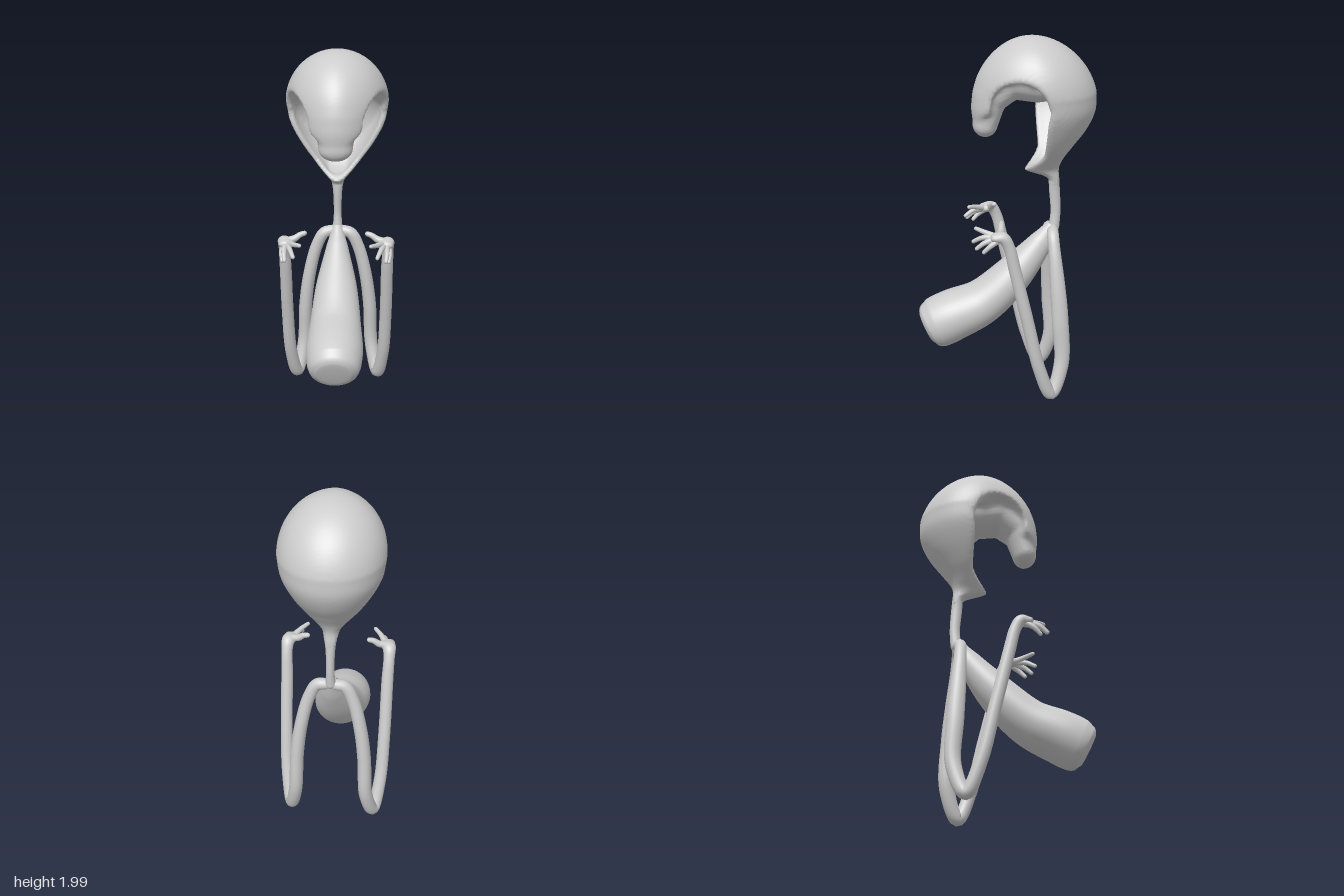
import * as THREE from 'three';

const material = new THREE.MeshStandardMaterial({ color: 0xcccccc, roughness: 0.8 });

function addMesh(parent, name, geometry) {
  const mesh = new THREE.Mesh(geometry, material);
  mesh.name = name;
  parent.add(mesh);
}

function indexed(positions, index) {
  const g = new THREE.BufferGeometry();
  g.setAttribute('position', new THREE.Float32BufferAttribute(positions, 3));
  g.setIndex(index);
  g.computeVertexNormals();
  return g;
}

// Smooth limb through rows of [x, y, z, sideRadius, otherRadius], with rounded ends
function limb(rows, steps = 40, sides = 20, endRound = 1) {
  const path = new THREE.CatmullRomCurve3(rows.map(r => new THREE.Vector3(r[0], r[1], r[2])));
  const radii = new THREE.CatmullRomCurve3(
    rows.map(r => new THREE.Vector3(r[3], r[4] ?? r[3], 0)), false, 'catmullrom');
  const chord = path.getPoint(1).sub(path.getPoint(0)).normalize();
  const ref = Math.abs(chord.x) > 0.8 ? new THREE.Vector3(0, 0, 1) : new THREE.Vector3(1, 0, 0);
  const positions = [], index = [];
  let rings = 0;
  const ring = (u, tilt) => {
    const t = path.getTangent(u), r = radii.getPoint(u);
    const s = ref.clone().addScaledVector(t, -ref.dot(t)).normalize();
    const v = t.clone().cross(s);
    const c = path.getPoint(u).addScaledVector(t, Math.sin(tilt) * Math.min(r.x, r.y) * endRound);
    for (let j = 0; j < sides; j++) {
      const a = j / sides * Math.PI * 2;
      const p = c.clone()
        .addScaledVector(s, Math.cos(a) * r.x * Math.cos(tilt))
        .addScaledVector(v, Math.sin(a) * r.y * Math.cos(tilt));
      positions.push(p.x, p.y, p.z);
    }
    rings++;
  };
  for (let k = 5; k > 0; k--) ring(0, -k / 5 * Math.PI / 2);
  for (let i = 0; i <= steps; i++) ring(i / steps, 0);
  for (let k = 1; k <= 5; k++) ring(1, k / 5 * Math.PI / 2);
  for (let i = 0; i < rings - 1; i++) {
    for (let j = 0; j < sides; j++) {
      const a = i * sides + j, b = i * sides + (j + 1) % sides;
      index.push(a, b, a + sides, b, b + sides, a + sides);
    }
  }
  return indexed(positions, index);
}

// Smooth blends of two shapes given as signed fields (negative inside)
const join = (a, b, k) => Math.min(a, b) - Math.max(k - Math.abs(a - b), 0) ** 2 / (4 * k);
const both = (a, b, k) => -join(-a, -b, k);

// Skull cross-sections from neck to brow: half width, back z, front z, z of widest point
const levels = [1.15, 1.23, 1.27, 1.32, 1.4, 1.5, 1.6, 1.7];
const sections = new THREE.CubicInterpolant(levels, [
  0.025, -0.303, -0.243, -0.273,
  0.037, -0.298, -0.22, -0.26,
  0.05, -0.295, -0.11, -0.22,
  0.09, -0.31, -0.07, -0.21,
  0.155, -0.365, 0, -0.21,
  0.22, -0.44, 0.1, -0.2,
  0.265, -0.485, 0.17, -0.2,
  0.28, -0.49, 0.17, -0.2,
], 4);

function skull(x, y, z) {
  let [w, back, front, mid] = sections.evaluate(Math.min(Math.max(y, 1.15), 1.6999));
  const t = Math.max(0, (y - 1.7) / 0.3), lift = Math.min(t, 1.2);
  const backDepth = mid - back, frontDepth = front - mid - 0.08 * lift;
  mid += 0.06 * lift;
  const p = z > mid ? 1.8 : 2;
  const d = Math.abs(z - mid) / (z > mid ? frontDepth : backDepth);
  const flat = (Math.abs(x / w) ** p + d ** p) ** (1 / p);
  return (Math.hypot(flat, t) - 1) * w;
}

// Drooping nose: tapered segments of [y, z, radius], wider than deep
const noseLine = [[1.53, 0.108, 0.067], [1.67, 0.075, 0.083], [1.77, -0.03, 0.103],
  [1.745, -0.17, 0.1], [1.76, -0.32, 0.1]];

function nose(x, y, z) {
  let best = Infinity;
  for (let i = 0; i < noseLine.length - 1; i++) {
    const [ay, az, ar] = noseLine[i], [by, bz, br] = noseLine[i + 1];
    const dy = by - ay, dz = bz - az;
    const h = Math.min(1, Math.max(0, ((y - ay) * dy + (z - az) * dz) / (dy * dy + dz * dz)));
    const d = Math.hypot(x / 1.35, y - ay - h * dy, z - az - h * dz) - ar - h * (br - ar);
    best = Math.min(best, d);
  }
  return best;
}

// Skull, less the arched mouth opening and the bowl behind it, plus the nose
function headField(x, y, z) {
  const outer = skull(x, y, z);
  const arch = Math.hypot(z + 0.05, y - 1.64) - 0.145;
  const rim = -0.195 + 6.6 * Math.max(0, 1.4 - y) ** 2;
  const below = Math.max(rim - z, y - 1.64 + 0.6 * Math.max(0, z - 0.05));
  const bowl = (Math.hypot(x / 0.3, (y - 1.55) / 0.25, (z + 0.17) / 0.17) - 1) * 0.2;
  const mouth = join(join(arch, below, 0.03), Math.max(outer + 0.035, bowl), 0.02);
  const shell = both(outer, -mouth, 0.025);
  return Math.max(join(shell, nose(x, y, z), 0.04), 1.18 - y);
}

// Skin a signed field with one vertex per crossed grid cell
function skin(field, min, max, step) {
  const n = min.map((m, i) => Math.ceil((max[i] - m) / step) + 1);
  const stride = [1, n[0], n[0] * n[1]];
  const values = new Float32Array(n[0] * n[1] * n[2]);
  const cell = new Int32Array(values.length).fill(-1);
  const positions = [], index = [];
  const each = (from, to, fn) => {
    for (let k = from; k < n[2] - to; k++)
      for (let j = from; j < n[1] - to; j++)
        for (let i = from; i < n[0] - to; i++) fn([i, j, k], i + j * stride[1] + k * stride[2]);
  };
  each(0, 0, (g, id) => { values[id] = field(...g.map((v, a) => min[a] + v * step)); });
  each(0, 1, (g, id) => {
    const sum = [0, 0, 0];
    let count = 0;
    for (let c = 0; c < 8; c++) {
      const corner = [c & 1, (c >> 1) & 1, c >> 2];
      const p = id + corner[0] + corner[1] * stride[1] + corner[2] * stride[2];
      for (let a = 0; a < 3; a++) {
        const v0 = values[p], v1 = values[p + stride[a]];
        if (corner[a] || (v0 < 0) === (v1 < 0)) continue;
        for (let b = 0; b < 3; b++) sum[b] += corner[b] + (a === b ? v0 / (v0 - v1) : 0);
        count++;
      }
    }
    if (!count) return;
    cell[id] = positions.length / 3;
    positions.push(...sum.map((s, a) => min[a] + (g[a] + s / count) * step));
  });
  each(1, 1, (g, id) => {
    for (let a = 0; a < 3; a++) {
      const inside = values[id] < 0;
      if (inside === (values[id + stride[a]] < 0)) continue;
      const b = stride[(a + 1) % 3], c = stride[(a + 2) % 3];
      const q = [id - b - c, id - c, id, id - b].map(p => cell[p]);
      if (!inside) q.reverse();
      index.push(q[0], q[1], q[2], q[0], q[2], q[3]);
    }
  });
  return indexed(positions, index);
}

export function createModel() {
  const model = new THREE.Group();
  model.name = 'creature';

  addMesh(model, 'head', skin(headField, [-0.3125, 1.15, -0.525], [0.3125, 2.04, 0.22], 0.0125));
  addMesh(model, 'neck', limb([[0, 1.22, -0.268, 0.032, 0.029], [0, 1.15, -0.273, 0.025, 0.03],
    [0, 1.03, -0.28, 0.022, 0.028], [0, 0.94, -0.272, 0.028, 0.03]]));

  // Long sack-like body, leaning forward to a blunt end
  addMesh(model, 'body', limb([[0, 0.95, -0.265, 0.03, 0.035], [0, 0.86, -0.205, 0.06, 0.065],
    [0, 0.675, -0.05, 0.115, 0.105], [0, 0.515, 0.13, 0.142, 0.126], [0, 0.445, 0.29, 0.155, 0.143],
    [0, 0.402, 0.385, 0.146, 0.143], [0, 0.386, 0.425, 0.128, 0.122],
    [0, 0.378, 0.442, 0.1, 0.095]], 70, 40, 0.08));

  // Arms fold at the elbow on the ground; fingers spread forward
  const armPath = [[0.02, 0.93, -0.262, 0.03], [0.075, 0.915, -0.255, 0.033],
    [0.12, 0.83, -0.258, 0.034], [0.163, 0.65, -0.27, 0.036, 0.042], [0.188, 0.45, -0.283, 0.038, 0.046],
    [0.2, 0.2, -0.29, 0.038, 0.042], [0.237, 0.043, -0.228, 0.037], [0.268, 0.2, -0.158, 0.035],
    [0.28, 0.5, -0.087, 0.034], [0.282, 0.8, -0.017, 0.033], [0.285, 0.93, 0.015, 0.031],
    [0.282, 0.98, 0.045, 0.037, 0.032], [0.268, 0.982, 0.085, 0.043, 0.025]];
  const digits = {
    thumb: [[0.27, 0.99, 0.06, 0.02], [0.225, 1.0, 0.05, 0.019], [0.195, 1.02, 0.045, 0.016], [0.172, 1.027, 0.04, 0.014]],
    indexFinger: [[0.255, 0.985, 0.09, 0.018], [0.225, 1.0, 0.14, 0.014], [0.192, 1.01, 0.18, 0.011]],
    middleFinger: [[0.262, 0.98, 0.09, 0.018], [0.245, 0.975, 0.15, 0.014], [0.226, 0.95, 0.197, 0.011]],
    ringFinger: [[0.275, 0.975, 0.09, 0.018], [0.278, 0.955, 0.145, 0.014], [0.273, 0.925, 0.184, 0.011]],
    littleFinger: [[0.285, 0.97, 0.07, 0.018], [0.293, 0.94, 0.115, 0.014], [0.288, 0.908, 0.148, 0.011]],
  };
  for (const [side, s] of [['left', 1], ['right', -1]]) {
    const mirrored = rows => rows.map(([x, ...rest]) => [s * x, ...rest]);
    const arm = new THREE.Group();
    arm.name = side + 'Arm';
    addMesh(arm, side + 'ArmLimb', limb(mirrored(armPath), 110));
    for (const [name, rows] of Object.entries(digits)) addMesh(arm, side + '-' + name, limb(mirrored(rows), 14, 12));
    model.add(arm);
  }
  return model;
}
